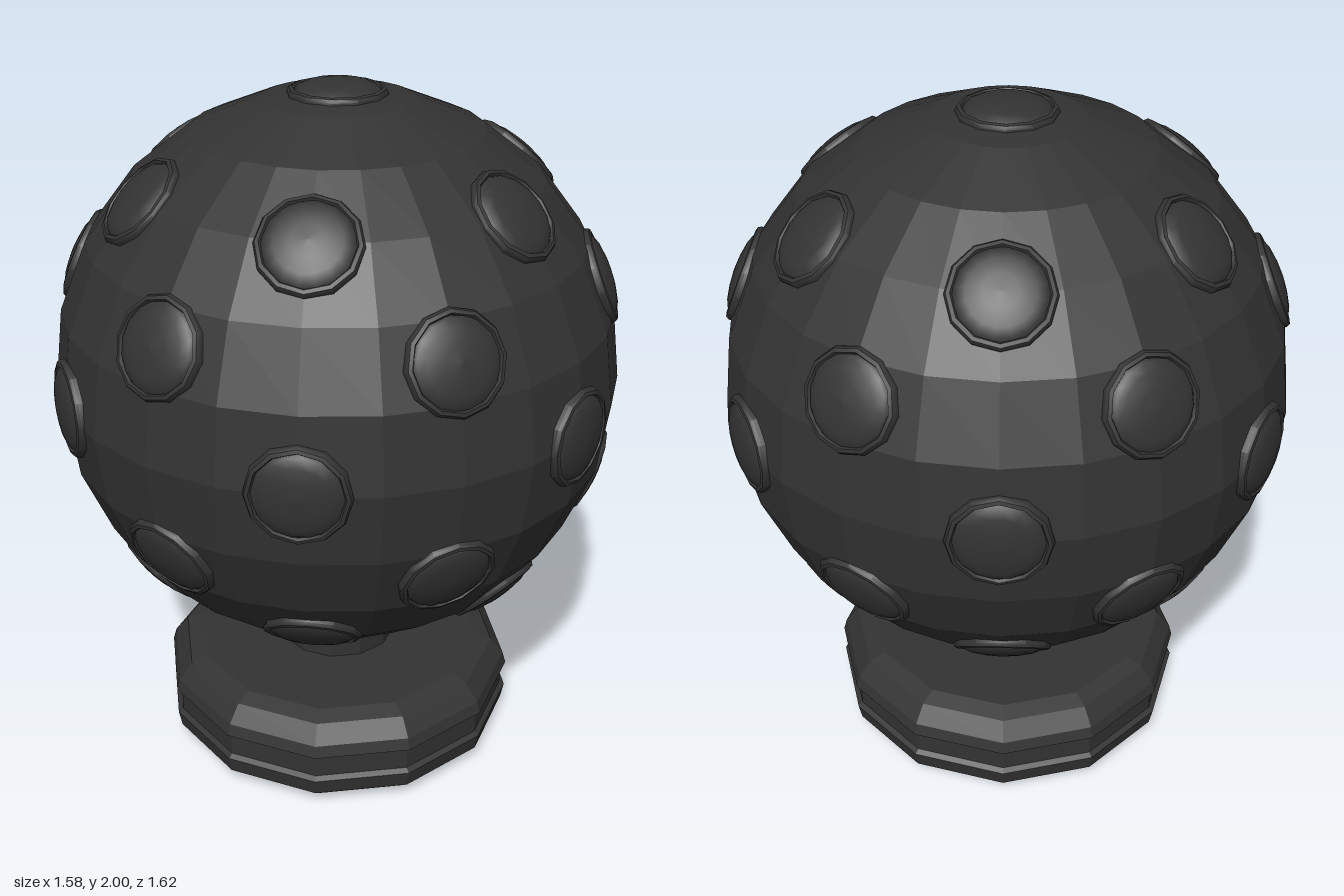
import * as THREE from 'three';
import { toCreasedNormals } from 'three/addons/utils/BufferGeometryUtils.js';

const CENTRE_Y = 1.19;
const RADIUS = 0.79;

function lathe(points, sides) {
  return new THREE.LatheGeometry(points.map(([r, y]) => new THREE.Vector2(r, y)), sides);
}

export function createModel() {
  const model = new THREE.Group();
  const flat = new THREE.MeshStandardMaterial({ color: 0x333333, flatShading: true });
  const smooth = new THREE.MeshStandardMaterial({ color: 0x333333 });

  const add = (name, geometry, material, parent = model) => {
    const mesh = new THREE.Mesh(geometry, material);
    mesh.name = name;
    parent.add(mesh);
    return mesh;
  };

  // Twelve-sided base with bevelled rims and a groove round the middle
  add('base', lathe([
    [0, 0], [0.42, 0], [0.48, 0.015], [0.52, 0.05], [0.53, 0.1], [0.515, 0.11],
    [0.515, 0.18], [0.53, 0.185], [0.52, 0.22], [0.48, 0.27], [0.43, 0.285], [0, 0.285],
  ], 12), flat);

  // Short neck between base and ball
  add('neck', new THREE.CylinderGeometry(0.175, 0.175, 0.24, 12), flat).position.y = 0.36;

  // Faceted ball
  add('ball', new THREE.SphereGeometry(RADIUS, 24, 12), flat).position.y = CENTRE_Y;

  // Lens: thin raised rim and shallow dome, heights measured from the ball centre
  const rim = toCreasedNormals(lathe([
    [0.135, 0.745], [0.135, 0.778], [0.13, 0.787], [0.12, 0.79], [0.115, 0.782],
  ], 12), 0.6);
  const dome = lathe([
    [0.117, 0.78], [0.108, 0.79], [0.085, 0.8], [0.045, 0.807], [0, 0.81],
  ], 16);

  const lenses = new THREE.Group();
  lenses.name = 'lenses';
  lenses.position.y = CENTRE_Y;
  model.add(lenses);

  const up = new THREE.Vector3(0, 1, 0);
  const addLens = (latitude, azimuth) => {
    const lat = THREE.MathUtils.degToRad(latitude);
    const az = THREE.MathUtils.degToRad(azimuth);
    const lens = new THREE.Group();
    lens.name = 'lens';
    lens.quaternion.setFromUnitVectors(up, new THREE.Vector3(
      Math.cos(lat) * Math.sin(az), Math.sin(lat), Math.cos(lat) * Math.cos(az)));
    add('lensRim', rim, smooth, lens);
    add('lensDome', dome, smooth, lens);
    lenses.add(lens);
  };

  // One lens on top, then staggered rings of six
  addLens(90, 0);
  for (const [latitude, offset] of [[45, 0], [22.5, 30], [0, 0], [-22.5, 30], [-45, 0]]) {
    for (let i = 0; i < 6; i++) addLens(latitude, offset + i * 60);
  }

  return model;
}
